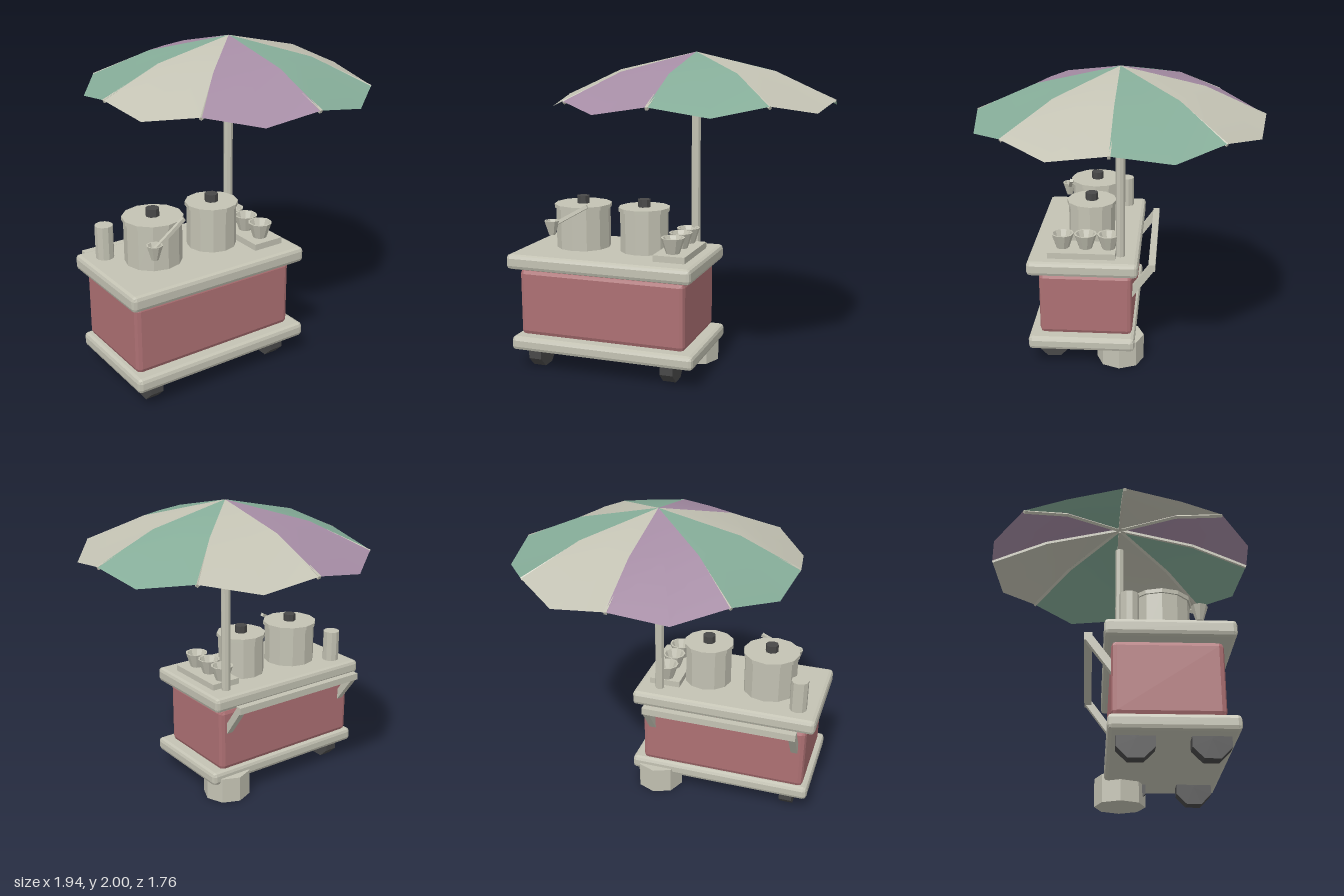
import * as THREE from 'three';
import { RoundedBoxGeometry } from 'three/addons/geometries/RoundedBoxGeometry.js';

const mat = (name, color, side = THREE.FrontSide) => {
  const m = new THREE.MeshStandardMaterial({ color, side });
  m.name = name;
  return m;
};

export function createModel() {
  const root = new THREE.Group();
  root.name = 'umbrellaFoodCart';
  const cream = mat('cream', 0xc3c2b3, THREE.DoubleSide);
  const red = mat('dustyRed', 0xad7073);
  const green = mat('sageGreen', 0x85ac98, THREE.DoubleSide);
  const purple = mat('mauve', 0xa58ca4, THREE.DoubleSide);
  const dark = mat('charcoal', 0x484848);

  // Faceted mesh helper: every face keeps its own normal
  const add = (name, geo, material, x = 0, y = 0, z = 0, parent = root) => {
    const g = geo.index ? geo.toNonIndexed() : geo;
    g.computeVertexNormals();
    const mesh = new THREE.Mesh(g, material);
    mesh.name = name;
    mesh.position.set(x, y, z);
    parent.add(mesh);
    return mesh;
  };
  const group = (name, x = 0, y = 0, z = 0) => {
    const g = new THREE.Group();
    g.name = name;
    g.position.set(x, y, z);
    root.add(g);
    return g;
  };
  // Chamfered block given by its extents
  const block = (name, material, [x0, x1], [y0, y1], [z0, z1], bevel) =>
    add(name, new RoundedBoxGeometry(x1 - x0, y1 - y0, z1 - z0, 1, bevel), material,
      (x0 + x1) / 2, (y0 + y1) / 2, (z0 + z1) / 2);
  // Bar of square section between two points
  const bar = (name, a, b, t, parent = root) => {
    const d = b.clone().sub(a);
    const mesh = add(name, new THREE.BoxGeometry(t, d.length(), t), cream, 0, 0, 0, parent);
    mesh.position.copy(a).add(b).multiplyScalar(0.5);
    mesh.quaternion.setFromUnitVectors(new THREE.Vector3(0, 1, 0), d.normalize());
    return mesh;
  };
  const v = (x, y, z) => new THREE.Vector3(x, y, z);

  // Cart
  block('chassis', cream, [-0.95, 0.26], [0.13, 0.22], [-0.1, 0.6], 0.025);
  block('cabinet', red, [-0.915, 0.185], [0.215, 0.648], [-0.08, 0.53], 0.03);
  block('counter', cream, [-0.97, 0.245], [0.658, 0.755], [-0.12, 0.6], 0.025);
  add('counterCore', new THREE.BoxGeometry(0.9, 0.03, 0.4), cream, -0.365, 0.653, 0.22);

  // Wheels
  for (const x of [-0.807, 0.08]) {
    for (const z of [0.45, 0.05]) {
      const g = new THREE.CylinderGeometry(0.114, 0.114, 0.085, 8);
      g.rotateY(Math.PI / 8).rotateZ(Math.PI / 2);
      add('wheel', g, dark, x, 0.115, z);
    }
  }

  // Push handle at the back
  const handle = group('pushHandle');
  add('gripBar', new THREE.BoxGeometry(1.01, 0.045, 0.045), cream, -0.365, 0.69, -0.205, handle);
  for (const x of [-0.847, 0.117]) {
    bar('handleStrut', v(x, 0.49, -0.06), v(x, 0.69, -0.205), 0.045, handle);
  }

  // Pots with lids and knobs
  for (const [x, r] of [[-0.607, 0.175], [-0.185, 0.155]]) {
    const pot = group('pot', x, 0.755, 0.21);
    add('potBody', new THREE.CylinderGeometry(r, r, 0.26, 12), cream, 0, 0.13, 0, pot);
    add('potLid', new THREE.CylinderGeometry(r + 0.01, r + 0.01, 0.025, 12), cream, 0, 0.27, 0, pot);
    add('lidKnob', new THREE.CylinderGeometry(0.042, 0.042, 0.05, 8), dark, 0, 0.306, 0, pot);
  }
  add('canister', new THREE.CylinderGeometry(0.056, 0.056, 0.21, 10), cream, -0.835, 0.86, 0.02);

  // Hollow tapered cup
  const cupGeo = (rBottom, rTop, h, wall, sides) => new THREE.LatheGeometry([
    [0, 0], [rBottom, 0], [rTop, h], [rTop - wall, h], [rBottom - wall, wall * 1.5], [0, wall * 1.5],
  ].map(([x, y]) => new THREE.Vector2(x, y)), sides);

  // Serving tray with three bowls
  add('tray', new THREE.BoxGeometry(0.205, 0.04, 0.44), cream, 0.067, 0.775, 0.25);
  for (const z of [0.38, 0.23, 0.08]) add('bowl', cupGeo(0.042, 0.075, 0.1, 0.012, 10), cream, 0.065, 0.793, z);

  // Ladle leaning on the large pot
  const ladle = group('ladle');
  add('ladleCup', cupGeo(0.022, 0.05, 0.09, 0.009, 8), cream, -0.725, 0.865, 0.427, ladle);
  bar('ladleHandle', v(-0.72, 0.925, 0.425), v(-0.5, 1.05, 0.385), 0.022, ladle);

  // Umbrella stand and pole
  const cx = 0.09;
  add('umbrellaStand', new THREE.CylinderGeometry(0.157, 0.157, 0.175, 8), cream, cx, 0.0875, 0);
  add('umbrellaPole', new THREE.CylinderGeometry(0.03, 0.03, 1.72, 8), cream, cx, 0.96, 0);

  // Canopy: eight gores whose hem droops between the ribs
  const canopy = group('canopy', cx, 0, 0);
  const polar = (a, r, y) => v(Math.cos(a) * r, y, Math.sin(a) * r);
  const colours = [cream, green, purple, cream, green, purple, cream, green];
  colours.forEach((material, i) => {
    const a = i * Math.PI / 4, m = a + Math.PI / 8, b = a + Math.PI / 4;
    const points = [
      v(0, 2, 0),
      polar(a, 0.51, 1.885), polar(m, 0.49, 1.882), polar(b, 0.51, 1.885),
      polar(a, 0.88, 1.72), polar(m, 0.9, 1.665), polar(b, 0.88, 1.72),
    ];
    const g = new THREE.BufferGeometry().setFromPoints(points);
    g.setIndex([0, 2, 1, 0, 3, 2, 1, 2, 5, 1, 5, 4, 2, 3, 6, 2, 6, 5]);
    g.computeVertexNormals();
    const gore = new THREE.Mesh(g, material);
    gore.name = 'canopyPanel';
    canopy.add(gore);

    // Bent rib under each seam
    const rib = [polar(a, 0.01, 1.985), polar(a, 0.51, 1.87), polar(a, 0.877, 1.712)];
    bar('innerRib', rib[0], rib[1], 0.018, canopy);
    bar('outerRib', rib[1], rib[2], 0.018, canopy);
  });

  return root;
}
